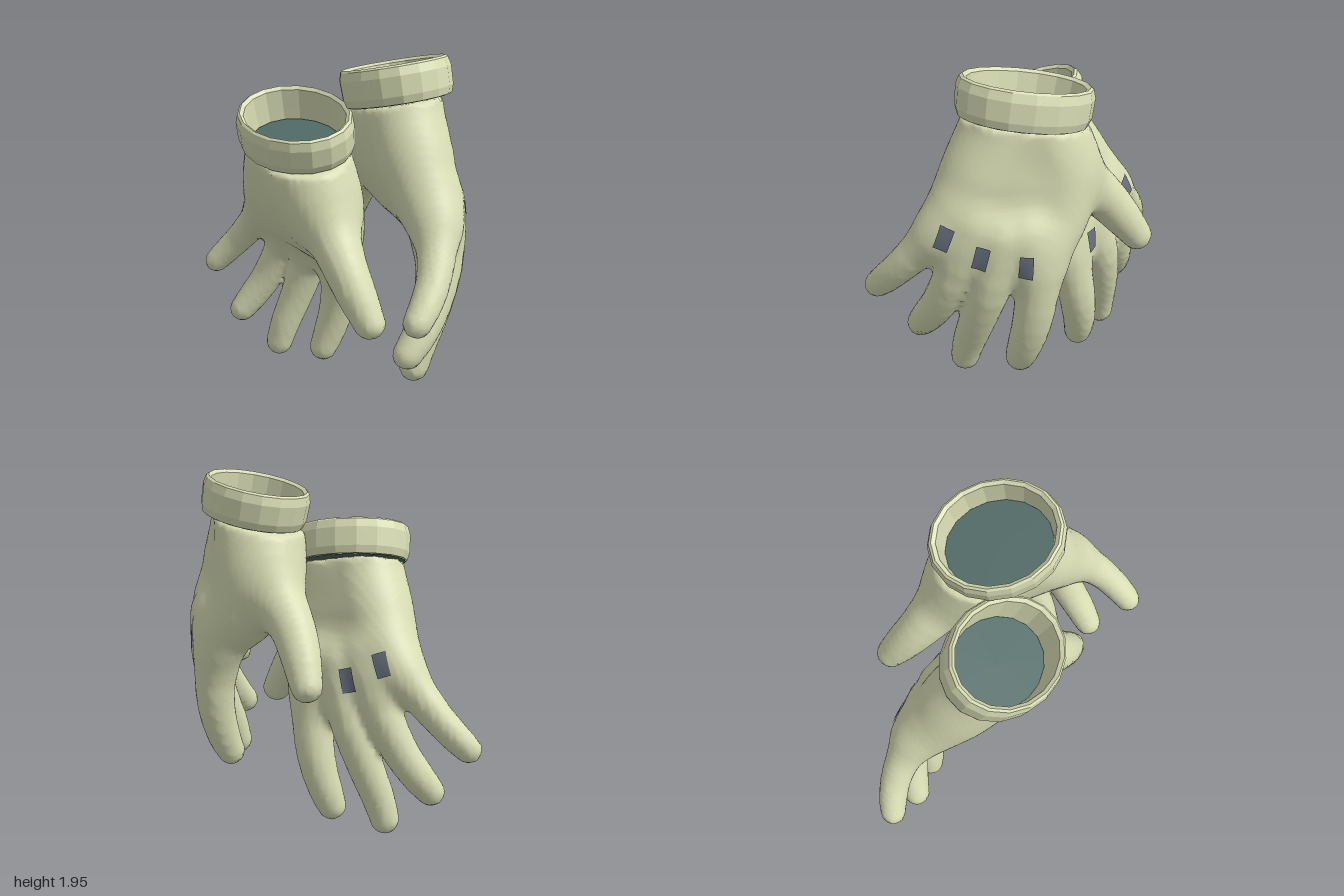
import * as THREE from 'three';

const V = (p) => new THREE.Vector3(...p);
const curve = (pts) => new THREE.CatmullRomCurve3(pts.map(V));
const numberCurve = (nums) => curve(nums.map((n) => [n, 0, 0]));

const skinMat = new THREE.MeshStandardMaterial({ color: 0xd9deb5 });
skinMat.name = 'pale green fabric';
const liningMat = new THREE.MeshStandardMaterial({ color: 0x506a66, side: THREE.DoubleSide });
liningMat.name = 'dark teal lining';
const plateMat = new THREE.MeshStandardMaterial({ color: 0x6a707e, side: THREE.DoubleSide });
plateMat.name = 'slate plate';

// Palm stations from wrist to finger webs: little-finger edge, thumb edge, half thickness
const palm = [
  [[-0.39, 1.53, 0.2], [0.19, 1.41, 0.21], 0.235],
  [[-0.43, 1.42, 0.18], [0.23, 1.3, 0.21], 0.25],
  [[-0.53, 1.24, 0.13], [0.27, 1.12, 0.17], 0.24],
  [[-0.62, 1.06, 0.09], [0.22, 0.96, 0.07], 0.2],
  [[-0.67, 0.95, 0.06], [0.12, 0.83, -0.05], 0.15],
  [[-0.62, 0.87, 0.04], [0.05, 0.72, -0.1], 0.1],
  [[-0.55, 0.81, 0.02], [-0.03, 0.64, -0.1], 0.06],
];

// Fingers and thumb from root to tip: x, y, z, radius
const digits = [
  [[-0.46, 1.02, 0.05, 0.12], [-0.64, 0.87, 0.05, 0.105], [-0.79, 0.71, 0.085, 0.087],
    [-0.88, 0.6, 0.14, 0.08], [-0.925, 0.54, 0.18, 0.072]],
  [[-0.38, 0.98, -0.01, 0.13], [-0.51, 0.73, -0.04, 0.108], [-0.61, 0.5, 0.01, 0.097],
    [-0.68, 0.355, 0.08, 0.09], [-0.72, 0.265, 0.14, 0.078]],
  [[-0.26, 0.93, -0.06, 0.13], [-0.345, 0.66, -0.1, 0.112], [-0.42, 0.41, -0.06, 0.1],
    [-0.475, 0.2, 0, 0.09], [-0.5, 0.08, 0.025, 0.08]],
  [[-0.15, 0.93, -0.06, 0.13], [-0.105, 0.66, -0.12, 0.118], [-0.14, 0.41, -0.14, 0.106],
    [-0.185, 0.21, -0.11, 0.094], [-0.205, 0.115, -0.08, 0.082]],
  [[0.03, 1.24, 0.2, 0.185], [0.2, 1.03, 0.215, 0.148], [0.34, 0.87, 0.245, 0.12],
    [0.44, 0.73, 0.245, 0.105], [0.52, 0.605, 0.235, 0.085]],
];

// Knuckle plates: x, y and lean
const plates = [[-0.56, 0.99, 0.4], [-0.39, 0.89, 0.28], [-0.17, 0.83, 0.1]];

const cuffCentre = V([-0.08, 1.545, 0.22]);
const cuffAxis = V([0.2, 1, 0.25]).normalize();
const cuffFrame = new THREE.Matrix4().compose(
  cuffCentre,
  new THREE.Quaternion().setFromUnitVectors(V([0, 1, 0]), cuffAxis),
  V([0.35, 1, 0.295]),
);

const bone = (a, b, ra, rb) => ({ a, d: b.clone().sub(a), ra, rb });

// Rounded bars laid across the palm, thinner at the little-finger edge
function palmBones() {
  const left = curve(palm.map((s) => s[0]));
  const right = curve(palm.map((s) => s[1]));
  const thick = numberCurve(palm.map((s) => s[2]));
  return Array.from({ length: 43 }, (_, i) => {
    const l = left.getPoint(i / 42), r = right.getPoint(i / 42), t = thick.getPoint(i / 42).x;
    const across = r.clone().sub(l).normalize();
    return bone(l.addScaledVector(across, t * 0.87), r.addScaledVector(across, -t), t * 0.87, t);
  });
}

// Tapered bars along a finger
function digitBones(points) {
  const path = curve(points.map((p) => p.slice(0, 3)));
  const radius = numberCurve(points.map((p) => p[3]));
  return Array.from({ length: 10 }, (_, i) => {
    const s = i / 10, e = (i + 1) / 10;
    return bone(path.getPoint(s), path.getPoint(e), radius.getPoint(s).x, radius.getPoint(e).x);
  });
}

function distance(bones, p) {
  let best = Infinity;
  for (const { a, d, ra, rb } of bones) {
    const x = p.x - a.x, y = p.y - a.y, z = p.z - a.z;
    const t = Math.min(1, Math.max(0, (x * d.x + y * d.y + z * d.z) / d.lengthSq()));
    best = Math.min(best, Math.hypot(x - d.x * t, y - d.y * t, z - d.z * t) - ra - (rb - ra) * t);
  }
  return best;
}

// Minimum with a soft fillet of width k
function blend(a, b, k) {
  const h = Math.max(k - Math.abs(a - b), 0) / k;
  return Math.min(a, b) - h * h * k * 0.25;
}

// One seamless skin over palm, fingers and thumb, drawn through a grid of distances
function handGeometry() {
  const palmSet = palmBones();
  const digitSets = digits.map(digitBones);
  const field = (p) => {
    const fingers = digitSets.map((b) => distance(b, p)).reduce((a, b) => blend(a, b, 0.03));
    const wristCut = p.clone().sub(cuffCentre).dot(cuffAxis) + 0.108;
    return Math.max(blend(fingers, distance(palmSet, p), 0.11), wristCut);
  };

  const h = 0.025, low = [-1.1, -0.06, -0.4], n = [72, 68, 42];
  const stride = [1, n[0], n[0] * n[1]];
  const at = (i, j, k) => i + j * stride[1] + k * stride[2];
  const values = new Float32Array(n[0] * n[1] * n[2]);
  const eachCell = (from, visit) => {
    for (let k = from; k < n[2] - from; k++) {
      for (let j = from; j < n[1] - from; j++) {
        for (let i = from; i < n[0] - from; i++) visit(at(i, j, k), [i, j, k]);
      }
    }
  };
  eachCell(0, (id, c) => { values[id] = field(V(c.map((v, a) => low[a] + v * h))); });

  // A vertex in each cell that the surface crosses
  const vertex = new Map();
  const pos = [], idx = [];
  eachCell(1, (id, cell) => {
    const sum = [0, 0, 0];
    let hits = 0;
    for (let a = 0; a < 3; a++) {
      const b = (a + 1) % 3, c = (a + 2) % 3;
      for (let m = 0; m < 4; m++) {
        const ob = m & 1, oc = m >> 1;
        const start = id + ob * stride[b] + oc * stride[c];
        const v0 = values[start], v1 = values[start + stride[a]];
        if ((v0 < 0) === (v1 < 0)) continue;
        sum[a] += v0 / (v0 - v1);
        sum[b] += ob;
        sum[c] += oc;
        hits++;
      }
    }
    if (!hits) return;
    vertex.set(id, pos.length / 3);
    for (let a = 0; a < 3; a++) pos.push(low[a] + (cell[a] + sum[a] / hits) * h);
  });

  // A quad round each crossed grid edge
  eachCell(2, (id) => {
    for (let a = 0; a < 3; a++) {
      const inside = values[id] < 0;
      if (inside === (values[id + stride[a]] < 0)) continue;
      const sb = stride[(a + 1) % 3], sc = stride[(a + 2) % 3];
      const q = [id - sb - sc, id - sc, id, id - sb].map((c) => vertex.get(c));
      if (!inside) q.reverse();
      idx.push(q[0], q[1], q[2], q[0], q[2], q[3]);
    }
  });

  const g = new THREE.BufferGeometry();
  g.setAttribute('position', new THREE.Float32BufferAttribute(pos, 3));
  g.setIndex(idx);
  return g;
}

// Thin plate laid on the back of the hand
function plateGeometry([x, y, lean], hand) {
  const g = new THREE.PlaneGeometry(0.07, 0.13, 4, 6).rotateY(Math.PI).rotateZ(-lean).translate(x, y, 0);
  const p = g.attributes.position;
  const ray = new THREE.Raycaster();
  for (let i = 0; i < p.count; i++) {
    ray.set(V([p.getX(i), p.getY(i), -2]), V([0, 0, 1]));
    p.setZ(i, ray.intersectObject(hand)[0].point.z - 0.008);
  }
  return g;
}

function buildGlove(name, handGeo, matrix, mirrored) {
  const glove = new THREE.Group();
  glove.name = name;

  // Bakes the placement, turning the faces round on the mirrored glove
  const add = (geo, mat, part, flat) => {
    geo.applyMatrix4(matrix);
    if (mirrored) geo.index.array.reverse();
    const g = flat ? geo.toNonIndexed() : geo;
    g.computeVertexNormals();
    const mesh = new THREE.Mesh(g, mat);
    mesh.name = part;
    glove.add(mesh);
  };

  const target = new THREE.Mesh(handGeo, skinMat);
  plates.forEach((p, i) => add(plateGeometry(p, target), plateMat, 'knucklePlate' + (i + 1)));
  add(handGeo.clone(), skinMat, 'hand');

  // Faceted cuff, and the lining that closes it round the wrist
  const profile = [[0.8, -0.095], [0.95, -0.1], [0.99, -0.06], [1, 0.04], [0.96, 0.085],
    [0.92, 0.095], [0.86, 0.08], [0.82, -0.04], [0.8, -0.095]];
  const cuff = new THREE.LatheGeometry(profile.map(([r, y]) => new THREE.Vector2(r, y)), 18);
  add(cuff.applyMatrix4(cuffFrame), skinMat, 'cuff', true);
  const lining = new THREE.CircleGeometry(0.93, 18).rotateX(-Math.PI / 2).translate(0, -0.103, 0);
  add(lining.applyMatrix4(cuffFrame), liningMat, 'lining');
  return glove;
}

export function createModel() {
  const model = new THREE.Group();
  model.name = 'pairOfGloves';
  const hand = handGeometry();
  model.add(buildGlove('frontGlove', hand, new THREE.Matrix4(), false));

  // The second glove is the mirror image, turned and raised about its cuff
  const m = new THREE.Matrix4().makeTranslation(0.28, 1.8, -0.17)
    .multiply(new THREE.Matrix4().makeRotationFromEuler(new THREE.Euler(-0.065, -0.555, -0.09, 'XZY')))
    .multiply(new THREE.Matrix4().makeScale(-1, 1, 1))
    .multiply(new THREE.Matrix4().makeTranslation(-cuffCentre.x, -cuffCentre.y, -cuffCentre.z));
  model.add(buildGlove('rearGlove', hand, m, true));
  return model;
}
